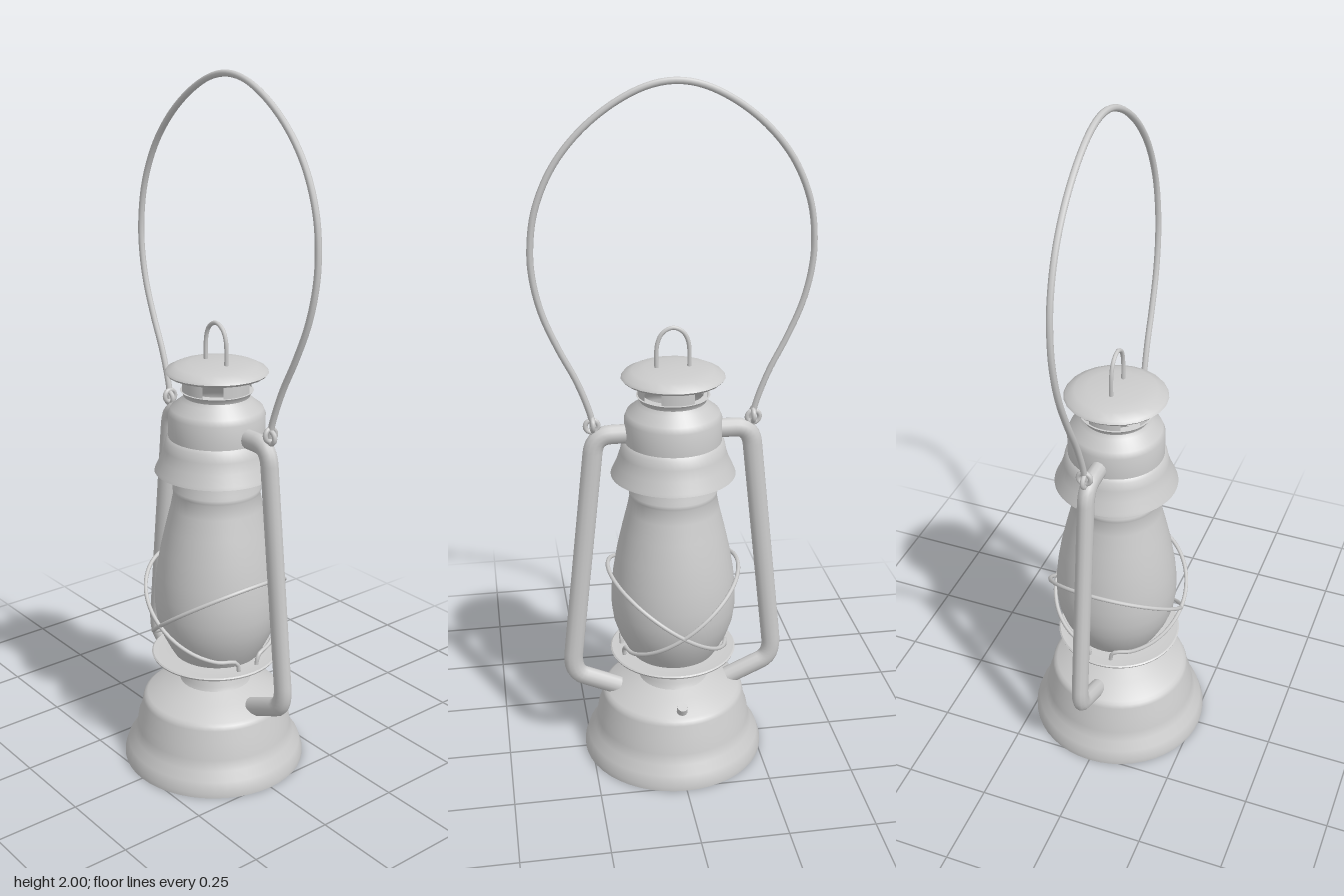
import * as THREE from 'three';
import { toCreasedNormals } from 'three/addons/utils/BufferGeometryUtils.js';

const OFF = 0.011; // the upper works sit slightly off the base axis

export function createModel() {
  const model = new THREE.Group();
  const mat = new THREE.MeshStandardMaterial({ color: 0xcccccc, side: THREE.DoubleSide });

  const add = (name, geo, x = 0, y = 0, z = 0) => {
    const mesh = new THREE.Mesh(geo, mat);
    mesh.name = name;
    mesh.position.set(x, y, z);
    model.add(mesh);
    return mesh;
  };
  // turned part from [radius, height] pairs
  const turned = (name, pts, x = OFF, seg = 48) => {
    const geo = new THREE.LatheGeometry(pts.map(p => new THREE.Vector2(...p)), seg);
    return add(name, toCreasedNormals(geo, 0.6), x);
  };
  // bent wire through [x, y, z] points
  const wire = (name, pts, r, seg = 48, closed = false) => {
    const curve = new THREE.CatmullRomCurve3(pts.map(p => new THREE.Vector3(...p)), closed);
    return add(name, new THREE.TubeGeometry(curve, seg, r, 8, closed));
  };

  // fuel tank and burner neck
  turned('fuelTank', [
    [0, 0], [0.268, 0], [0.268, 0.014], [0.258, 0.045], [0.24, 0.07], [0.23, 0.1],
    [0.226, 0.13], [0.218, 0.15], [0.212, 0.185], [0.207, 0.197], [0.198, 0.203],
    [0.15, 0.228], [0.1, 0.25],
  ], 0);
  turned('burnerNeck', [
    [0.105, 0.245], [0.097, 0.26], [0.092, 0.29], [0.08, 0.32], [0.085, 0.34],
  ], 0.006);

  // filler cap on the tank shoulder
  const filler = add('fillerCap', new THREE.CylinderGeometry(0.015, 0.017, 0.035, 12), 0.178, 0.218, 0);
  filler.rotation.z = -0.45;

  // plate carrying the globe
  turned('globePlate', [
    [0.08, 0.325], [0.13, 0.327], [0.184, 0.331], [0.186, 0.336], [0.182, 0.339], [0.135, 0.337], [0.08, 0.345],
  ], 0.003);

  // glass globe
  turned('globe', [
    [0.125, 0.335], [0.14, 0.36], [0.16, 0.4], [0.175, 0.445], [0.181, 0.49], [0.181, 0.54],
    [0.175, 0.6], [0.163, 0.67], [0.147, 0.74], [0.132, 0.8], [0.124, 0.84],
    [0.126, 0.846], [0.126, 0.856], [0.121, 0.865], [0.119, 0.98],
  ]);

  // flared hood, open underneath
  turned('hood', [
    [0.12, 0.985], [0.15, 0.95], [0.172, 0.91], [0.177, 0.907], [0.174, 0.915], [0.16, 0.945],
    [0.15, 0.975], [0.145, 1.0], [0.137, 1.008], [0.137, 1.075], [0.13, 1.092],
    [0.1, 1.115], [0.093, 1.126], [0.096, 1.135], [0.103, 1.142], [0.085, 1.145],
  ]);

  // wall between four diagonal vent openings
  for (let i = 0; i < 4; i++) {
    const a = THREE.MathUtils.degToRad(56);
    add('ventWall', new THREE.CylinderGeometry(0.098, 0.098, 0.045, 10, 1, true, i * Math.PI / 2 - a / 2, a), OFF, 1.16, 0);
  }

  // cap with a rolled edge
  turned('cap', [
    [0, 1.178], [0.1, 1.178], [0.118, 1.182], [0.138, 1.188], [0.145, 1.195], [0.14, 1.202],
    [0.115, 1.214], [0.08, 1.22], [0, 1.223],
  ], OFF, 24);

  // lifting loop on the cap
  wire('capLoop', [
    [0.008, 1.21, -0.046], [0.008, 1.29, -0.043], [0.008, 1.32, -0.028], [0.008, 1.333, 0],
    [0.008, 1.32, 0.028], [0.008, 1.29, 0.043], [0.008, 1.21, 0.046],
  ], 0.006, 40);

  // crossed guard wires with ends dropping to the plate
  for (const s of [-1, 1]) {
    const pts = [];
    for (let i = 0; i <= 20; i++) {
      const t = -Math.PI / 2 + 0.2 + (i / 20) * (Math.PI * 2 - 0.4);
      const k = Math.sin(t);
      pts.push([OFF - 0.005 + 0.203 * Math.cos(t), 0.488 + 0.125 * k, s * (0.018 + 0.172 * k)]);
    }
    const a = pts[0], b = pts[20];
    pts.unshift([a[0] - 0.008, 0.333, a[2]]);
    pts.push([b[0] + 0.008, 0.333, b[2]]);
    wire('guardWire', pts, 0.006, 96);
  }

  // side air tubes and the eyes the bail hooks into
  for (const s of [-1, 1]) {
    const path = new THREE.CurvePath();
    const v = (y, z) => new THREE.Vector3(0, y, s * z);
    path.add(new THREE.LineCurve3(v(1.033, 0.12), v(1.033, 0.175)));
    path.add(new THREE.QuadraticBezierCurve3(v(1.033, 0.175), v(1.033, 0.22), v(0.985, 0.227)));
    path.add(new THREE.LineCurve3(v(0.985, 0.227), v(0.34, 0.298)));
    path.add(new THREE.QuadraticBezierCurve3(v(0.34, 0.298), v(0.275, 0.305), v(0.26, 0.265)));
    path.add(new THREE.LineCurve3(v(0.26, 0.265), v(0.215, 0.165)));
    const arm = add('airTube', new THREE.TubeGeometry(path, 72, 0.028, 12, false), 0.012);
    arm.scale.x = 0.84;

    const eye = add('bailEye', new THREE.TorusGeometry(0.018, 0.007, 8, 20), 0.013, 1.062, s * 0.228);
    eye.rotation.y = Math.PI / 2;
    // hooked end of the bail
    add('bailHook', new THREE.TorusGeometry(0.018, 0.007, 8, 20), 0.015, 1.068, s * 0.226);
  }

  // wire bail, leaning slightly to the left
  const half = [
    [1.06, 0.223], [1.11, 0.235], [1.2, 0.268], [1.29, 0.312], [1.39, 0.353], [1.48, 0.374], [1.56, 0.379],
    [1.67, 0.364], [1.78, 0.317], [1.87, 0.245], [1.94, 0.155], [1.98, 0.07],
  ];
  const lean = y => 0.014 + (y - 1.06) * 0.034;
  wire('bail', [
    ...half.map(([y, z]) => [lean(y), y, z]),
    [lean(1.991), 1.991, 0],
    ...half.map(([y, z]) => [lean(y), y, -z]).reverse(),
  ], 0.009, 120);

  return model;
}
